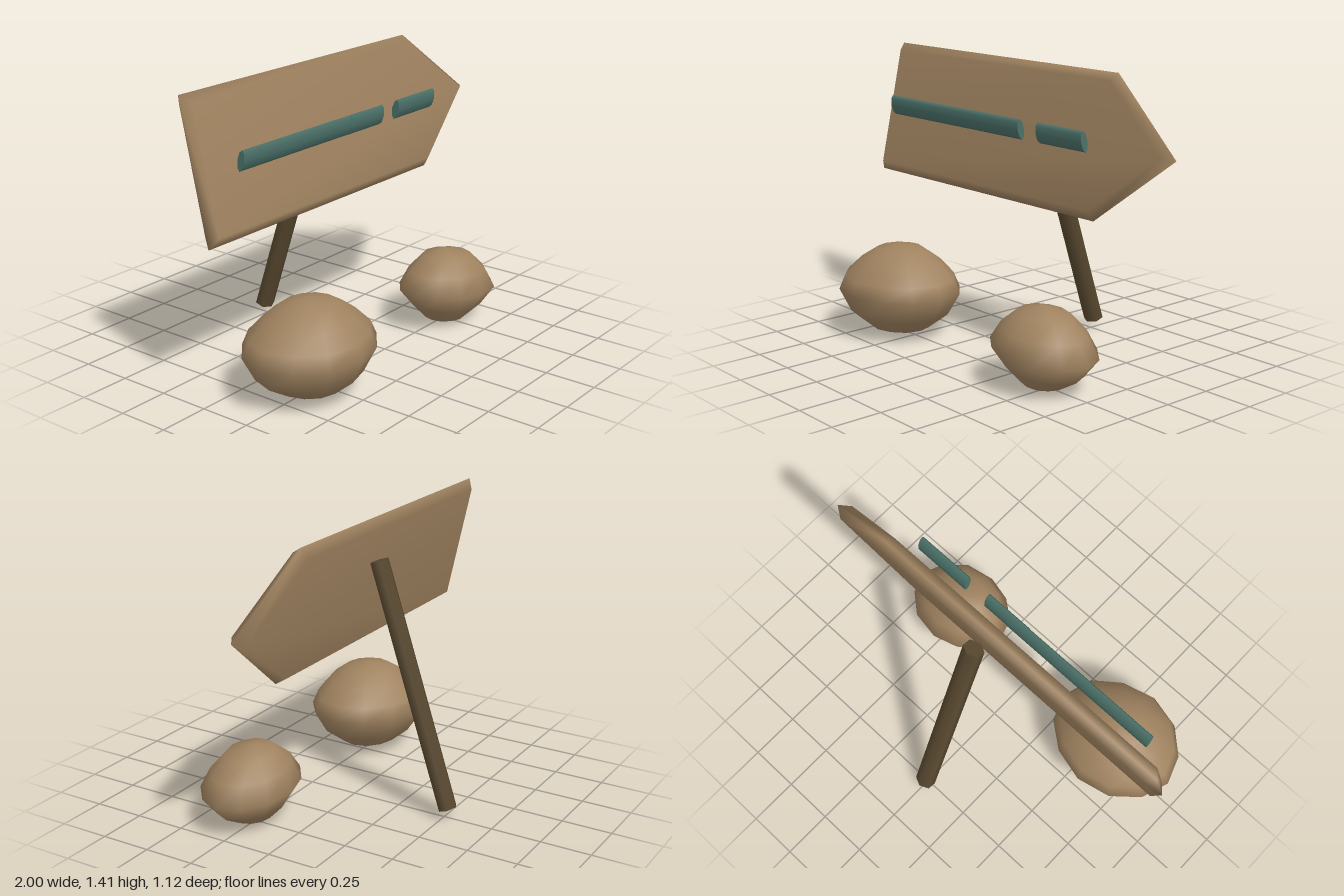
import * as THREE from 'three';

const paleWood = new THREE.MeshStandardMaterial({ name: 'paleWood', color: 0xa08360 });
const darkWood = new THREE.MeshStandardMaterial({ name: 'darkWood', color: 0x58482f });
const tealPaint = new THREE.MeshStandardMaterial({ name: 'tealPaint', color: 0x4b7169 });

function smoothMesh(name, points, index, material) {
  const geometry = new THREE.BufferGeometry();
  geometry.setAttribute('position', new THREE.Float32BufferAttribute(points, 3));
  geometry.setIndex(index);
  geometry.computeVertexNormals();
  const mesh = new THREE.Mesh(geometry, material);
  mesh.name = name;
  return mesh;
}

// Arrow board: front face, wider middle ridge and back face joined by bevels
function makeBoard() {
  const arrow = (left, shoulder, tip, h) => [[left, -h], [shoulder, -h], [tip, 0], [shoulder, h], [left, h]];
  const face = arrow(-0.965, 0.57, 0.94, 0.292);
  const ridge = arrow(-1, 0.58, 1, 0.333);
  const loops = [[face, 0.041], [ridge, 0], [face, -0.041]];
  const points = [];
  const index = [];
  for (const [outline, z] of loops) for (const [x, y] of outline) points.push(x, y, z);
  for (let l = 0; l < 2; l++) {
    for (let i = 0; i < 5; i++) {
      const a = l * 5 + i, b = l * 5 + (i + 1) % 5;
      index.push(a, a + 5, b, b, a + 5, b + 5);
    }
  }
  for (let i = 1; i < 4; i++) index.push(0, i, i + 1, 10, 10 + i + 1, 10 + i);
  const board = smoothMesh('arrowBoard', points, index, paleWood);
  board.position.set(0, 1.086, -0.013);
  board.rotation.x = -0.22;
  return board;
}

// Stone: stacked rings following a left and right profile [y, left reach, right reach]
function makeRock(name, cx, cz, depth, rings, bottom, top, outline, slope) {
  const n = outline.length;
  const points = [];
  const index = [];
  for (const [y, left, right] of rings) {
    const width = (left + right) / 2;
    const widest = Math.max(...rings.map((r) => (r[1] + r[2]) / 2));
    for (let i = 0; i < n; i++) {
      const a = (i / n) * Math.PI * 2;
      const c = Math.cos(a) * outline[i], s = Math.sin(a) * outline[i];
      const x = c * (c < 0 ? left : right);
      points.push(cx + x, y + slope * x, cz + s * depth * Math.min(1, Math.pow(width / widest, 0.9)));
    }
  }
  const low = rings.length * n, high = low + 1;
  points.push(cx, bottom, cz + 0.02, cx, top, cz - 0.01);
  for (let r = 0; r < rings.length - 1; r++) {
    for (let i = 0; i < n; i++) {
      const a = r * n + i, b = r * n + (i + 1) % n;
      index.push(a, a + n, b, b, a + n, b + n);
    }
  }
  for (let i = 0; i < n; i++) {
    const j = (i + 1) % n, last = (rings.length - 1) * n;
    index.push(low, i, j, high, last + j, last + i);
  }
  return smoothMesh(name, points, index, paleWood);
}

// Painted bar lying along x in front of the board
function makeBar(name, x0, x1, zShift = 0) {
  const geometry = new THREE.CylinderGeometry(1, 1, 1, 8);
  geometry.rotateZ(Math.PI / 2);
  geometry.scale(x1 - x0, 0.05, 0.019);
  const bar = new THREE.Mesh(geometry, tealPaint);
  bar.name = name;
  bar.position.set((x0 + x1) / 2, 1.123, 0.104 + zShift);
  bar.rotation.x = 0.2;
  return bar;
}

export function createModel() {
  const model = new THREE.Group();
  model.name = 'arrowSign';
  model.add(makeBoard());

  // Leaning hexagonal post behind the board
  const foot = new THREE.Vector3(0, 0.055, -0.517);
  const head = new THREE.Vector3(0, 1.22, -0.133);
  const postGeometry = new THREE.CylinderGeometry(0.046, 0.046, foot.distanceTo(head), 6);
  const post = new THREE.Mesh(postGeometry, darkWood);
  post.name = 'post';
  post.scale.x = 1.13;
  post.position.copy(foot).add(head).multiplyScalar(0.5);
  post.rotation.x = Math.atan2(head.z - foot.z, head.y - foot.y);
  model.add(post);

  // Three bars of the painted line
  model.add(makeBar('longBar', -0.835, 0));
  model.add(makeBar('middleBar', -0.1, 0.145, 0.002));
  model.add(makeBar('shortBar', 0.265, 0.563));

  // Stones in front of the sign
  model.add(makeRock('largeRock', -0.59, 0.27, 0.29, [
    [0.045, 0.15, 0.16], [0.125, 0.28, 0.27], [0.24, 0.345, 0.345],
    [0.31, 0.31, 0.31], [0.385, 0.22, 0.23], [0.445, 0.12, 0.13],
  ], 0.01, 0.468, [1, 1, 0.98, 1.01, 1, 0.98, 1, 0.99, 1, 1, 0.98, 1], 0));
  model.add(makeRock('smallRock', 0.48, 0.27, 0.222, [
    [0.03, 0.11, 0.11], [0.1, 0.18, 0.22], [0.195, 0.27, 0.3],
    [0.285, 0.21, 0.24], [0.36, 0.12, 0.15],
  ], 0.005, 0.392, [1, 0.98, 1.02, 1, 0.98, 1, 1, 1, 0.97, 1, 1.01, 0.98], -0.07));
  return model;
}
